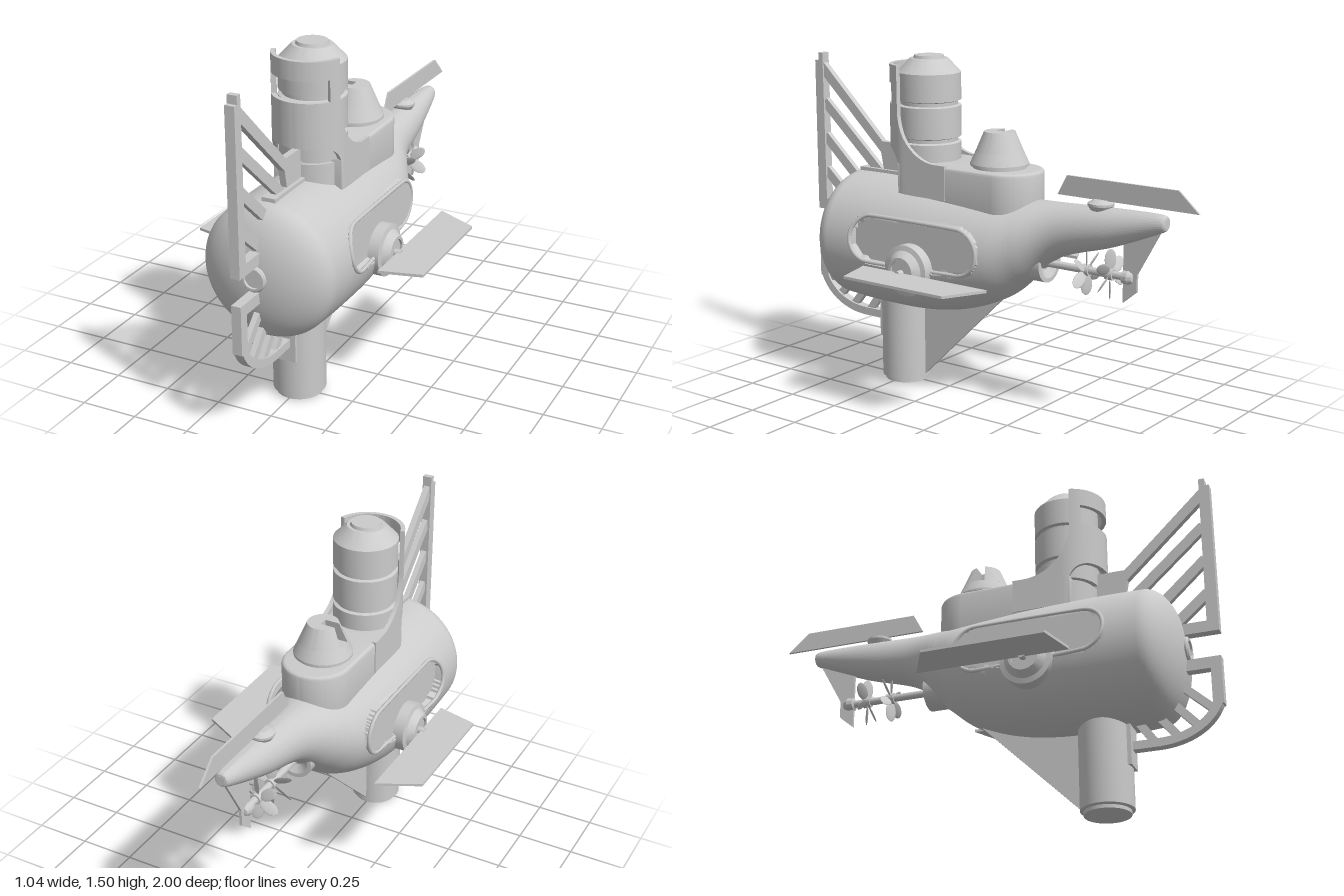
import * as THREE from 'three';
import { toCreasedNormals } from 'three/addons/utils/BufferGeometryUtils.js';

const V2 = (x, y) => new THREE.Vector2(x, y);
const material = new THREE.MeshStandardMaterial({ color: 0xcccccc, side: THREE.DoubleSide });

export function createModel() {
  const model = new THREE.Group();

  const add = (name, geometry, x = 0, y = 0, z = 0, parent = model) => {
    const mesh = new THREE.Mesh(geometry, material);
    mesh.name = name;
    mesh.position.set(x, y, z);
    parent.add(mesh);
    return mesh;
  };

  // skin over rings that turn right-handed about the direction of travel, with flat ends
  const loft = (rings, crease = 0.6) => {
    const n = rings[0].length, pos = rings.flat(2), idx = [];
    for (let r = 0; r < rings.length - 1; r++) {
      for (let i = 0; i < n; i++) {
        const a = r * n + i, b = r * n + (i + 1) % n;
        idx.push(a, b, b + n, a, b + n, a + n);
      }
    }
    const last = (rings.length - 1) * n;
    for (let i = 1; i < n - 1; i++) idx.push(0, i + 1, i, last, last + i, last + i + 1);
    const g = new THREE.BufferGeometry();
    g.setAttribute('position', new THREE.Float32BufferAttribute(pos, 3));
    g.setIndex(idx);
    return toCreasedNormals(g, crease);
  };

  // revolved profile of [radius, height]
  const turned = (pts, seg = 48) =>
    toCreasedNormals(new THREE.LatheGeometry(pts.map(p => V2(...p)), seg), 0.4);

  // flat plate in the z-y plane, centred on x = 0
  const plate = (name, pts, thick) => {
    const g = new THREE.ExtrudeGeometry(new THREE.Shape(pts.map(p => V2(...p))), { depth: thick, bevelEnabled: false });
    return add(name, g.translate(0, 0, -thick / 2).rotateY(-Math.PI / 2));
  };
  const bar = (name, z1, y1, z2, y2, width, thick) => {
    const l = Math.hypot(z2 - z1, y2 - y1), a = -(y2 - y1) / l * width / 2, b = (z2 - z1) / l * width / 2;
    return plate(name, [[z1 - a, y1 - b], [z2 - a, y2 - b], [z2 + a, y2 + b], [z1 + a, y1 + b]], thick);
  };

  // hull: stations of z, top, bottom, half width
  const stations = [
    [-0.85, 0.925, 0.885, 0.018], [-0.82, 0.943, 0.863, 0.038], [-0.6, 0.94, 0.775, 0.075],
    [-0.35, 0.93, 0.695, 0.11], [-0.2, 0.925, 0.57, 0.18], [-0.08, 0.925, 0.475, 0.235],
    [0.1, 0.935, 0.4, 0.272], [0.3, 0.945, 0.365, 0.292], [0.55, 0.952, 0.36, 0.292], [0.72, 0.95, 0.37, 0.29]];
  const [topCurve, bottomCurve, widthCurve] = [1, 2, 3].map(k => new THREE.SplineCurve(stations.map(s => V2(s[0], s[k]))));
  const sections = [];
  for (let i = 0; i <= 150; i++) {
    const t = i / 150, top = topCurve.getPoint(t), bot = bottomCurve.getPoint(t).y;
    sections.push({ z: top.x, cy: (top.y + bot) / 2, ry: (top.y - bot) / 2, rx: widthCurve.getPoint(t).y });
  }
  // rounded nose
  for (let i = 1; i <= 14; i++) {
    const a = i / 14 * 1.54, c = Math.cos(a);
    sections.push({ z: 0.72 + 0.14 * Math.sin(a), cy: 0.66, ry: 0.29 * c, rx: 0.29 * c });
  }
  // flat pockets in the hull sides
  const pocketX = 0.252, pocket = { z0: 0.02, z1: 0.48, y: 0.71, r: 0.1 };
  const inPocket = (z, y) =>
    Math.hypot(z - THREE.MathUtils.clamp(z, pocket.z0, pocket.z1), y - pocket.y) < pocket.r;
  const SEG = 128;
  add('hull', loft(sections.map(s => Array.from({ length: SEG }, (_, i) => {
    const a = i / SEG * Math.PI * 2, y = s.cy + s.ry * Math.sin(a);
    let x = s.rx * Math.cos(a);
    if (inPocket(s.z, y)) x = Math.sign(x) * pocketX;
    return [x, y, s.z];
  }))));
  const hullX = (z, y) => {
    const s = sections.reduce((p, q) => Math.abs(q.z - z) < Math.abs(p.z - z) ? q : p);
    return s.rx * Math.sqrt(Math.max(0, 1 - ((y - s.cy) / s.ry) ** 2));
  };

  // pocket rims, hubs and side planes
  for (const side of [-1, 1]) {
    const rim = [];
    for (let i = 0; i < 48; i++) {
      const a = i / 48 * Math.PI * 2;
      const z = (Math.cos(a) >= 0 ? pocket.z1 : pocket.z0) + pocket.r * Math.cos(a);
      const y = pocket.y + pocket.r * Math.sin(a);
      rim.push(new THREE.Vector3(side * Math.max(hullX(z, y), pocketX - 0.004), y, z));
    }
    add('pocketRim', new THREE.TubeGeometry(new THREE.CatmullRomCurve3(rim, true), 160, 0.009, 8, true));
    const hub = add('planeHub', turned([[0.112, 0.2], [0.112, 0.3], [0.09, 0.305], [0.085, 0.312], [0.065, 0.335],
      [0.052, 0.335], [0.052, 0.325], [0, 0.325]]), 0, 0.605, 0.255);
    hub.rotation.z = -side * Math.PI / 2;
    const wing = new THREE.Shape([V2(0.34, -0.21), V2(0.52, -0.115), V2(0.52, 0.41), V2(0.34, 0.455)].map(p => V2(p.x * side, p.y)));
    add('sidePlane', new THREE.ExtrudeGeometry(wing, { depth: 0.012, bevelEnabled: false }).rotateX(Math.PI / 2), 0, 0.606, 0);
    const pin = add('planePin', new THREE.CylinderGeometry(0.015, 0.015, 0.06, 16), side * 0.325, 0.6, 0.255);
    pin.rotation.z = Math.PI / 2;
  }

  // deck behind the tower
  const deck = new THREE.Shape();
  deck.moveTo(-0.14, 0.39).lineTo(-0.135, -0.08);
  deck.absarc(0, -0.08, 0.135, Math.PI, Math.PI * 2, false);
  deck.lineTo(0.14, 0.39);
  const deckGeo = new THREE.ExtrudeGeometry(deck, { depth: 0.16, bevelThickness: 0.015, bevelSize: 0.015, bevelSegments: 4, curveSegments: 24 });
  add('deck', toCreasedNormals(deckGeo.rotateX(Math.PI / 2), 0.5), 0, 1.03, 0);

  // banded column
  add('column', turned([[0.135, 0.88], [0.135, 1.02], [0.12, 1.02], [0.12, 1.035], [0.14, 1.035], [0.14, 1.12], [0.125, 1.125],
    [0.125, 1.14], [0.14, 1.145], [0.14, 1.28], [0.125, 1.285], [0.125, 1.3], [0.14, 1.305], [0.14, 1.425],
    [0.082, 1.485], [0.068, 1.485], [0.064, 1.498], [0, 1.498]], 64), 0, 0, 0.35);

  // curved shield round the column, with a window slot
  const shieldTop = z => z >= 0.41 ? 1.46 : z <= 0.2 ? 1.05 : 1.28 - 0.23 * Math.sqrt(1 - ((z - 0.2) / 0.21) ** 2);
  const shieldBottom = z => z < 0.4 ? 0.9 : z >= 0.5 ? 1.1 : 1 + 0.1 * Math.sqrt(1 - ((0.5 - z) / 0.1) ** 2);
  const outline = (from, to) => {
    const pts = [], rad = Math.PI / 180;
    if (from === -90) for (let i = 0; i < 16; i++) pts.push([-1, 0, 0.15 + 0.22 * i / 16]);
    for (let i = 0; i <= 40; i++) {
      const a = (from + (to - from) * i / 40) * rad;
      pts.push([Math.sin(a), Math.cos(a), 0.37]);
    }
    if (to === 90) for (let i = 15; i >= 0; i--) pts.push([1, 0, 0.15 + 0.22 * i / 16]);
    return pts;
  };
  const shield = (from, to, bottom, top) => add('towerShield', loft(outline(from, to).map(([nx, nz, cz]) => {
    const z = cz + 0.157 * nz, at = (r, y) => [nx * r, y, cz + nz * r];
    return [at(0.138, top(z)), at(0.157, top(z)), at(0.157, bottom(z)), at(0.138, bottom(z))];
  })));
  shield(-90, -57, shieldBottom, shieldTop);
  shield(57, 90, shieldBottom, shieldTop);
  shield(-57, 57, shieldBottom, () => 1.29);
  shield(-57, 57, () => 1.38, shieldTop);

  // tapered hatch with a notch in its upper half
  add('hatchBase', turned([[0.115, 1.03], [0.115, 1.055], [0.126, 1.055], [0.126, 1.065], [0.103, 1.115], [0, 1.115]]), 0, 0, -0.03);
  const notched = new THREE.Shape();
  notched.absarc(0, 0, 0.103, -Math.PI + 0.3, Math.PI - 0.3, false);
  notched.lineTo(0, 0.0304).lineTo(0, -0.0304);
  const hatch = new THREE.ExtrudeGeometry(notched, { depth: 0.085, bevelEnabled: false, curveSegments: 48 });
  const hp = hatch.attributes.position;
  for (let i = 0; i < hp.count; i++) {
    if (hp.getZ(i) > 0.04) hp.setXY(i, hp.getX(i) * 0.65, hp.getY(i) * 0.65);
  }
  add('hatchTop', toCreasedNormals(hatch.rotateX(-Math.PI / 2), 0.5), 0, 1.115, -0.03);

  // tail fins
  plate('upperRudder', [[-0.33, 0.965], [-0.995, 0.965], [-0.9, 1.05], [-0.375, 1.05]], 0.01);
  add('rudderMount', turned([[0.04, 0.92], [0.055, 0.945], [0.055, 0.955], [0.03, 0.968], [0, 0.968]], 32), 0, 0, -0.54);
  plate('lowerRudder', [[-0.655, 0.83], [-0.655, 0.55], [-0.72, 0.605], [-0.72, 0.68], [-0.83, 0.88]], 0.012);

  // propeller shaft and twin propellers
  const rod = (name, pts, z) => { add(name, turned(pts, 32), 0, 0.66, z).rotation.x = -Math.PI / 2; };
  rod('shaftHousing', [[0.083, -0.2], [0.083, 0], [0.065, 0], [0.03, -0.02], [0, -0.02]], -0.29);
  rod('propellerShaft', [[0.016, 0], [0.016, 0.38], [0.028, 0.385], [0.03, 0.41], [0.02, 0.43], [0, 0.435]], -0.27);
  for (const [z, twist] of [[-0.475, 0.6], [-0.59, -0.6]]) {
    const prop = new THREE.Group();
    prop.name = 'propeller';
    prop.position.set(0, 0.66, z);
    model.add(prop);
    add('propellerHub', new THREE.CylinderGeometry(0.024, 0.024, 0.035, 24), 0, 0, 0, prop).rotation.x = Math.PI / 2;
    for (let i = 0; i < 6; i++) {
      const arm = new THREE.Group();
      arm.rotation.z = i * Math.PI / 3;
      prop.add(arm);
      const blade = add('propellerBlade', new THREE.SphereGeometry(1, 16, 10), 0, 0.063, 0, arm);
      blade.scale.set(0.026, 0.045, 0.004);
      blade.rotation.y = twist;
    }
  }

  // keel column, keel fin and front tab
  add('keelColumn', turned([[0, 0], [0.098, 0], [0.098, 0.015], [0.112, 0.02], [0.112, 0.45]]), 0, 0, 0.495);
  plate('keelFin', [[0.39, 0.03], [-0.15, 0.56], [0.39, 0.56]], 0.012);
  add('keelTab', new THREE.BoxGeometry(0.09, 0.2, 0.03), 0, 0.29, 0.6);

  // upper bow guard
  plate('upperGuardPost', [[1, 0.74], [1, 1.43], [0.98, 1.43], [0.98, 1.465], [0.955, 1.465], [0.95, 0.74]], 0.042);
  bar('upperGuardFoot', 1, 0.76, 0.82, 0.76, 0.05, 0.042);
  plate('upperGuardBrace', [[0.955, 1.42], [0.61, 1.09], [0.46, 1.09], [0.46, 0.94], [0.6, 0.94], [0.62, 1.04], [0.955, 1.355]], 0.028);
  for (const [y1, z2, y2] of [[1.24, 0.58, 0.9], [1.08, 0.73, 0.87], [0.92, 0.8, 0.78]]) {
    bar('upperGuardBar', 0.96, y1, z2, y2, 0.045, 0.024);
  }
  add('spine', new THREE.BoxGeometry(0.06, 0.07, 0.34), 0, 0.93, 0.56);

  // lower bow guard
  bar('lowerGuardPost', 0.977, 0.62, 0.977, 0.41, 0.046, 0.042);
  bar('lowerGuardTop', 1, 0.595, 0.82, 0.595, 0.05, 0.042);
  const bow = new THREE.CubicBezierCurve(V2(0.977, 0.42), V2(0.94, 0.33), V2(0.84, 0.277), V2(0.72, 0.277)).getPoints(16);
  const edge = k => bow.map((p, i) => {
    const d = bow[Math.min(i + 1, 16)].clone().sub(bow[Math.max(i - 1, 0)]).normalize();
    return [p.x + d.y * k, p.y - d.x * k];
  });
  plate('lowerGuardCurve', [...edge(0.018), ...edge(-0.018).reverse()], 0.042);
  bar('lowerGuardFoot', 0.73, 0.277, 0.6, 0.277, 0.036, 0.042);
  for (const [z1, y1, z2, y2] of [[0.82, 0.52, 0.95, 0.4], [0.78, 0.45, 0.89, 0.33], [0.72, 0.4, 0.81, 0.29], [0.64, 0.38, 0.71, 0.28]]) {
    bar('lowerGuardBar', z1, y1, z2, y2, 0.034, 0.024);
  }

  // ring on the nose
  add('noseRing', turned([[0.055, -0.04], [0.055, 0.005], [0.048, 0.012], [0.038, 0.012], [0.036, 0.004], [0, 0.004]], 32), 0, 0.675, 0.86)
    .rotation.x = Math.PI / 2;

  return model;
}
